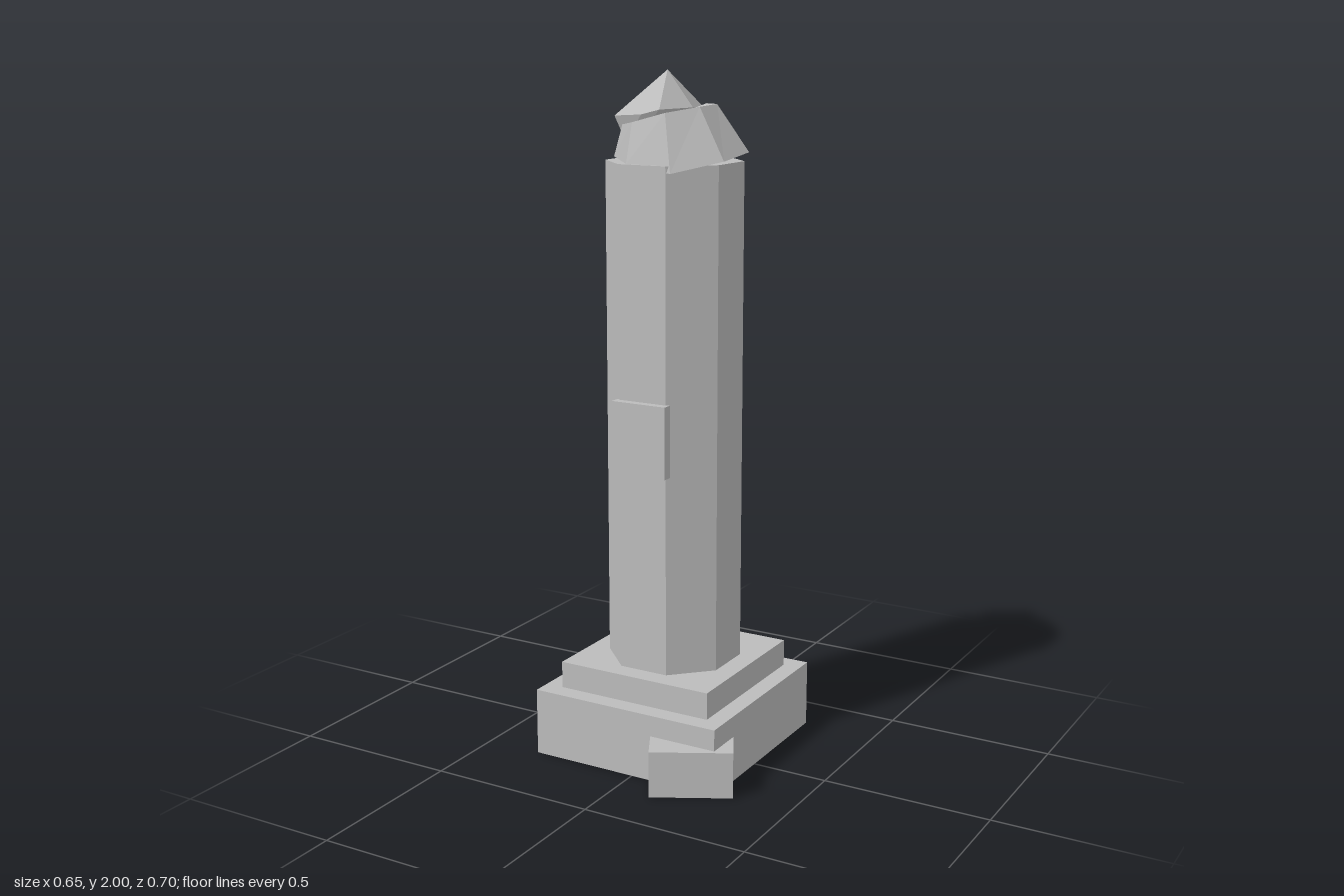
import * as THREE from 'three';

const stone = new THREE.MeshStandardMaterial({ color: 0xbcbcbc, flatShading: true, side: THREE.DoubleSide });
stone.name = 'grey stone';

function add(parent, name, geometry, x = 0, y = 0, z = 0) {
  const mesh = new THREE.Mesh(geometry, stone);
  mesh.name = name;
  mesh.position.set(x, y, z);
  parent.add(mesh);
  return mesh;
}

// Box standing on its origin, without an underside
function openBox(w, h, d) {
  const box = new THREE.BoxGeometry(w, h, d).translate(0, h / 2, 0);
  box.setIndex([...box.index.array].filter((v, i) => i < 18 || i > 23));
  box.clearGroups();
  return box;
}

// Skin over rings listed bottom to top; a ring of one point closes an end
function loft(rings) {
  const n = Math.max(...rings.map((r) => r.length));
  const out = [];
  for (let k = 0; k < rings.length - 1; k++) {
    const low = rings[k], high = rings[k + 1];
    for (let i = 0; i < n; i++) {
      const j = (i + 1) % n;
      const a = low[i % low.length], b = low[j % low.length];
      const c = high[i % high.length], d = high[j % high.length];
      if (low.length > 1) out.push(...b, ...a, ...c);
      if (high.length > 1) out.push(...b, ...c, ...d);
    }
  }
  const geometry = new THREE.BufferGeometry();
  geometry.setAttribute('position', new THREE.Float32BufferAttribute(out, 3));
  geometry.computeVertexNormals();
  return geometry;
}

export function createModel() {
  const model = new THREE.Group();
  model.name = 'brokenMonument';

  // Stepped base
  add(model, 'plinth', openBox(0.6, 0.2, 0.6), -0.028, 0, -0.05);
  add(model, 'upperStep', openBox(0.491, 0.08, 0.491), -0.028, 0.2, -0.051);

  // Block lying against the front corner
  const block = add(model, 'fallenBlock', openBox(0.238, 0.137, 0.195), 0.174, 0, 0.205);
  block.rotation.y = Math.atan2(0.112, 0.21);

  // Eight-sided shaft and its tablet
  const shaft = new THREE.CylinderGeometry(0.198, 0.198, 1.47, 8).rotateY(Math.PI / 8);
  add(model, 'shaft', shaft, -0.028, 1.015, -0.049);
  add(model, 'tablet', new THREE.BoxGeometry(0.173, 0.21, 0.03), -0.028, 0.98, 0.143);

  // Cracked, tilted cap, its rings running back, right, front, left
  add(model, 'crackedCap', loft([
    [[-0.01, 1.755, -0.05]],
    [[0.06, 1.77, -0.235], [0.168, 1.775, -0.127], [0.17, 1.76, 0.025], [0.062, 1.73, 0.133],
      [-0.085, 1.75, 0.121], [-0.186, 1.76, 0.02], [-0.19, 1.755, -0.12], [-0.09, 1.755, -0.232]],
    [[0.014, 1.905, -0.158], [0.087, 1.908, -0.087], [0.088, 1.905, 0.015], [0.02, 1.89, 0.088],
      [-0.085, 1.862, 0.088], [-0.158, 1.85, 0.02], [-0.15, 1.83, -0.085], [-0.065, 1.85, -0.155]],
    [[-0.01, 1.88, -0.04]],
  ]));

  // Loose pointed tip resting askew on the cap
  add(model, 'brokenTip', loft([
    [[-0.07, 1.8, -0.08]],
    [[0.008, 1.84, -0.19], [-0.005, 1.86, -0.08], [-0.03, 1.86, 0.01],
      [-0.09, 1.84, 0.01], [-0.165, 1.8, -0.01], [-0.14, 1.81, -0.13]],
    [[-0.02, 1.882, -0.22], [0.015, 1.897, -0.077], [-0.03, 1.895, 0.033],
      [-0.09, 1.88, 0.031], [-0.19, 1.873, 0.01], [-0.165, 1.857, -0.148]],
    [[-0.067, 2, -0.077]],
  ]));

  return model;
}
